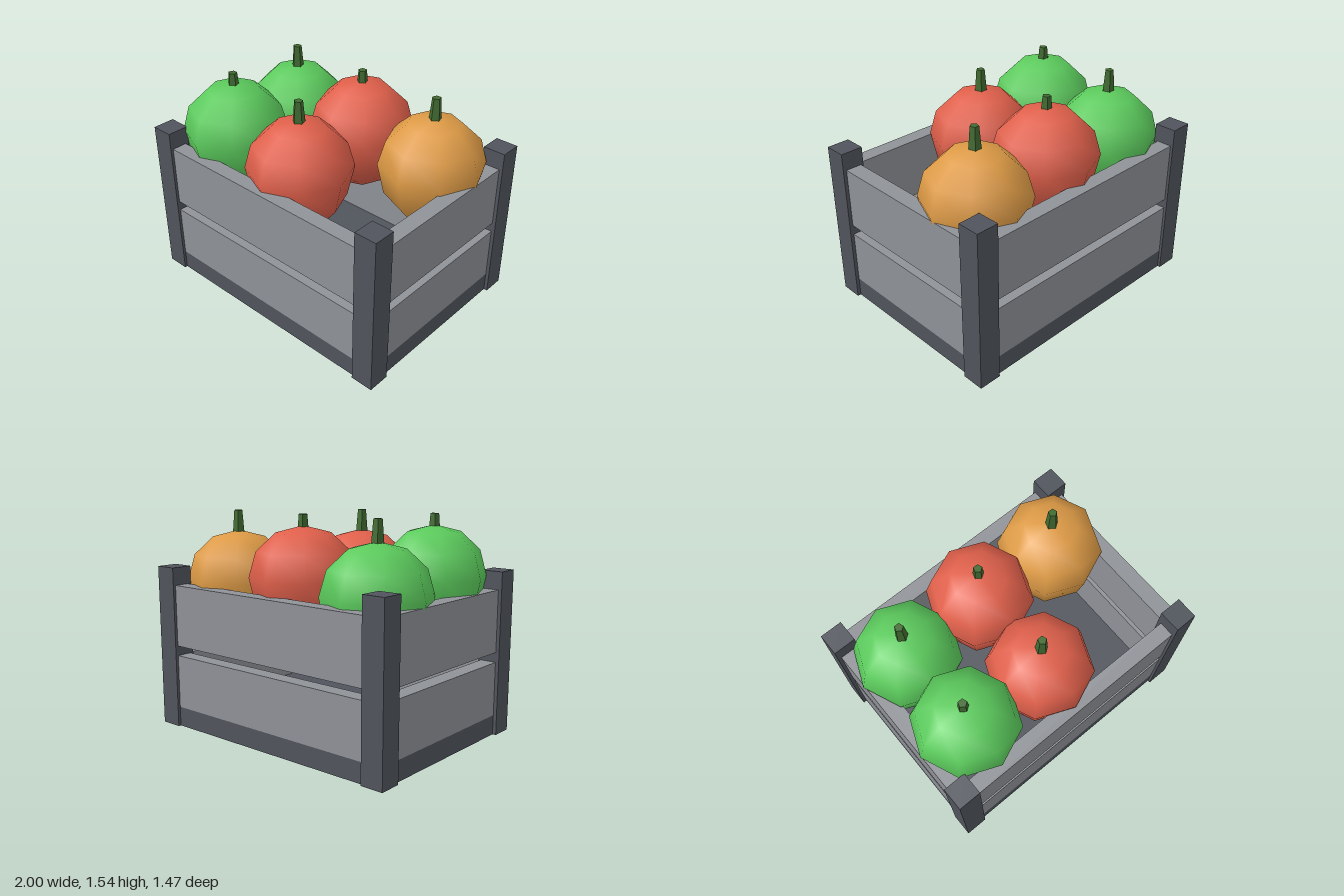
import * as THREE from 'three';

const material = (name, color) => {
  const m = new THREE.MeshStandardMaterial({ color });
  m.name = name;
  return m;
};

export function createModel() {
  const model = new THREE.Group();
  model.name = 'vegetableCrate';

  const darkGrey = material('dark grey frame', 0x50545c);
  const lightGrey = material('light grey boards', 0x8f9297);
  const green = material('green skin', 0x5bca5c);
  const red = material('red skin', 0xe0604b);
  const orange = material('orange skin', 0xde9b46);
  const stemGreen = material('stem green', 0x416b31);

  const add = (parent, name, geometry, mat, x, y, z) => {
    const mesh = new THREE.Mesh(geometry, mat);
    mesh.name = name;
    mesh.position.set(x, y, z);
    parent.add(mesh);
  };

  // Crate: base, corner posts and two rows of boards
  const crate = new THREE.Group();
  crate.name = 'crate';
  model.add(crate);
  add(crate, 'base', new THREE.BoxGeometry(1.95, 0.14, 1.43), darkGrey, 0, 0.07, 0);
  for (const sx of [-1, 1]) {
    for (const sz of [-1, 1]) {
      add(crate, 'cornerPost', new THREE.BoxGeometry(0.16, 1.15, 0.157), darkGrey, sx * 0.92, 0.575, sz * 0.6565);
    }
  }
  for (const [row, bottom, top] of [['lower', 0.14, 0.52], ['upper', 0.59, 1.025]]) {
    const h = top - bottom, y = (top + bottom) / 2;
    for (const s of [-1, 1]) {
      add(crate, row + 'LongBoard', new THREE.BoxGeometry(1.8, h, 0.11), lightGrey, 0, y, s * 0.66);
      add(crate, row + 'EndBoard', new THREE.BoxGeometry(0.115, h, 1.26), lightGrey, s * 0.9175, y, 0);
    }
  }

  // Pepper body: eight-sided rounded form with a longer lower half
  const body = new THREE.SphereGeometry(1, 8, 6).scale(0.367, 0.345, 0.367);
  const pos = body.attributes.position;
  for (let i = 0; i < pos.count; i++) {
    if (pos.getY(i) < 0) pos.setY(i, pos.getY(i) * 1.3);
  }

  // Five-sided tapered stem, all ending at the same height
  const stem = new THREE.CylinderGeometry(0.03, 0.045, 0.18, 5).toNonIndexed();
  stem.computeVertexNormals();

  for (const [name, skin, x, y, z] of [
    ['greenPepperBack', green, -0.62, 1.055, -0.305],
    ['greenPepperFront', green, -0.62, 1.12, 0.318],
    ['redPepperBack', red, 0, 1.12, -0.305],
    ['redPepperFront', red, 0, 1.055, 0.318],
    ['orangePepper', orange, 0.62, 1.055, -0.305],
  ]) {
    const pepper = new THREE.Group();
    pepper.name = name;
    add(pepper, 'pepperBody', body, skin, x, y, z);
    add(pepper, 'pepperStem', stem, stemGreen, x, 1.45, z);
    model.add(pepper);
  }

  return model;
}
